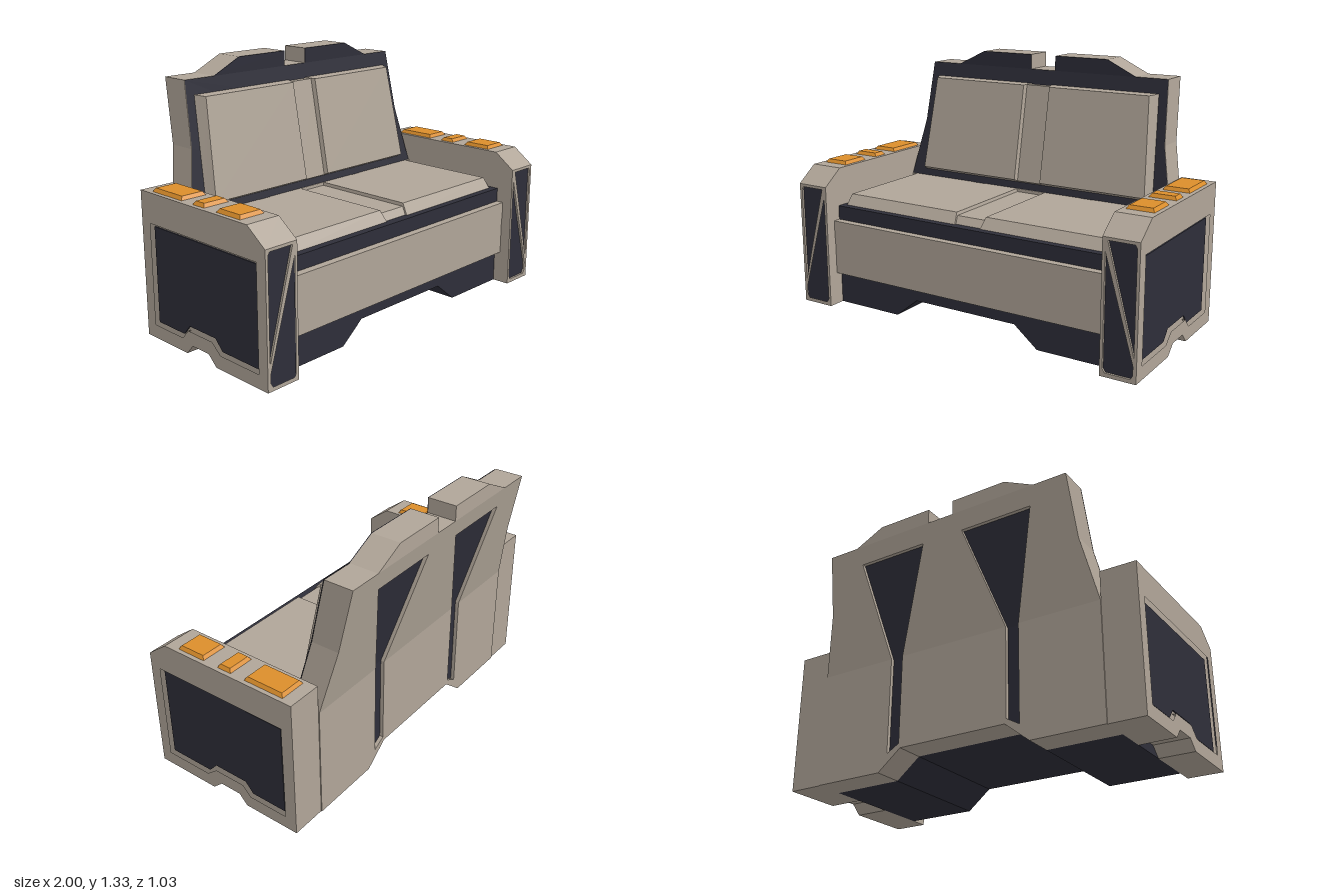
import * as THREE from 'three';

const beige = new THREE.MeshStandardMaterial({ color: 0xb0a598 });
beige.name = 'warm grey shell';
const dark = new THREE.MeshStandardMaterial({ color: 0x2e2e39, side: THREE.DoubleSide });
dark.name = 'dark inlay';
const orange = new THREE.MeshStandardMaterial({ color: 0xdb8e2b });
orange.name = 'orange pad';

const toVec = pts => pts.map(p => new THREE.Vector2(p[0], p[1]));
const flip = (pts, s) => pts.map(([x, y]) => [x * s, y]);
// Full outline from its +x half, listed from one end on the centre line to the other
const mirrored = half => [...half, ...flip(half, -1).reverse()];

// Moves every vertex by a rule and rebuilds the flat normals
function warp(geo, rule) {
  const p = geo.attributes.position;
  for (let i = 0; i < p.count; i++) p.setXYZ(i, ...rule(p.getX(i), p.getY(i), p.getZ(i)));
  geo.computeVertexNormals();
  return geo;
}

// Outline in x, y extruded from z0 to z1
function slab(pts, z0, z1, holes = []) {
  const shape = new THREE.Shape(toVec(pts));
  shape.holes = holes.map(h => new THREE.Path(toVec(h)));
  return new THREE.ExtrudeGeometry(shape, { depth: z1 - z0, bevelEnabled: false }).translate(0, 0, z0);
}

// Outline in z, y extruded across from x0 to x1
function sideSlab(pts, x0, x1, holes = []) {
  return slab(flip(pts, -1), x0, x1, holes.map(h => flip(h, -1))).rotateY(Math.PI / 2);
}

// Six-sided block whose corners come from a rule over the signs of x, y, z
const block = rule => warp(new THREE.BoxGeometry(2, 2, 2), rule);

// Planes of the leaning backrest
const frontZ = y => -0.36 + 0.1875 * (1.25 - Math.min(y, 1.25));
const backZ = y => -0.385 - 0.2 * (Math.min(Math.max(y, 0.6), 1.25) - 0.6);

export function createModel() {
  const model = new THREE.Group();
  model.name = 'sofa';
  const add = (name, geo, mat, parent = model) => {
    const mesh = new THREE.Mesh(geo, mat);
    mesh.name = name;
    parent.add(mesh);
    return mesh;
  };

  // Armrests: core, framed side panel, framed front panel, pads on top
  const armSide = [[0.5, 0], [0.5, 0.676], [0.4, 0.75], [-0.38, 0.75], [-0.38, 0],
    [-0.065, 0], [-0.02, 0.05], [0.1, 0.05], [0.155, 0]];
  const sideHole = [[0.455, 0.07], [0.455, 0.595], [-0.315, 0.595], [-0.315, 0.07],
    [-0.095, 0.07], [-0.05, 0.12], [0.13, 0.12], [0.19, 0.07]];
  const sidePanel = [[0.44, 0.085], [0.44, 0.58], [-0.3, 0.58], [-0.3, 0.085],
    [-0.1, 0.085], [-0.055, 0.137], [0.14, 0.137], [0.187, 0.085]];
  const frontHoles = [
    [[0.842, 0.65], [0.975, 0.65], [0.985, 0.635], [0.985, 0.125]],
    [[0.83, 0.6], [0.83, 0.04], [0.842, 0.02], [0.97, 0.02], [0.982, 0.04], [0.982, 0.085]],
  ];
  const pads = [[-0.315, -0.085], [-0.005, 0.08], [0.165, 0.33]];
  for (const s of [1, -1]) {
    const arm = new THREE.Group();
    arm.name = s > 0 ? 'leftArmrest' : 'rightArmrest';
    model.add(arm);
    const across = (pts, a, b, holes) => sideSlab(pts, Math.min(a * s, b * s), Math.max(a * s, b * s), holes);
    add('armCore', across(armSide, 0.815, 0.98), beige, arm);
    add('armSideFrame', across(armSide, 0.98, 1, [sideHole]), beige, arm);
    add('armSidePanel', across(sidePanel, 0.98, 0.987), dark, arm);
    const face = flip([[0.815, 0], [1, 0], [1, 0.665], [0.815, 0.665]], s);
    const frame = slab(face, 0.5, 0.515, frontHoles.map(h => flip(h, s)));
    add('armFrontFrame', warp(frame, (x, y, z) => [x, y > 0.66 && z < 0.51 ? 0.676 : y, z]), beige, arm);
    const inlay = flip([[0.822, 0.012], [0.992, 0.012], [0.992, 0.657], [0.822, 0.657]], s);
    add('armFrontPanel', slab(inlay, 0.5, 0.504), dark, arm);
    for (const [z0, z1] of pads) {
      add('armPad', block((x, y, z) => {
        const inset = y > 0 ? 0.013 : 0;
        return [s * 0.907 + x * (0.072 - inset), y > 0 ? 0.768 : 0.748,
          z > 0 ? z1 - inset : z0 + inset];
      }), orange, arm);
    }
  }

  // Base with a raised middle between two feet
  const foot = [[0.3, 0.105], [0.43, 0], [0.815, 0]];
  add('seatBase', slab(mirrored([...foot, [0.815, 0.545]]), -0.23, 0.42), dark);

  // Front apron in two plates meeting on a stepped seam
  const seam = [[0.18, 0.285], [0.49, 0.375], [0.815, 0.375]];
  add('upperApron', slab(mirrored([...seam, [0.815, 0.47]]), 0.42, 0.46), beige);
  add('lowerApron', slab([[-0.815, 0.175], [0.815, 0.175], ...mirrored(seam).reverse().sort((a, b) => b[0] - a[0])],
    0.42, 0.457), beige);

  // Seat cushions with a shallow channel between them
  for (const s of [1, -1]) {
    add('seatCushion', block((x, y, z) => {
      const top = y > 0;
      return [s * (x * s > 0 ? (top ? 0.782 : 0.79) : (top ? 0.088 : 0.075)),
        top ? 0.6 : 0.54, z > 0 ? (top ? 0.345 : 0.385) : -0.23];
    }), beige);
  }
  add('seatChannel', block((x, y, z) => [x * 0.09, y > 0 ? 0.583 : 0.54,
    z > 0 ? (y > 0 ? 0.345 : 0.375) : -0.23]), beige);

  // Back shell: upright lower part and leaning upper part, both cut by the slots
  const lowerHalf = [...foot, [0.815, 0.6], [0.38, 0.6], [0.38, 0.09], [0.31, 0.13], [0.31, 0.6]];
  add('lowerBack', slab(mirrored(lowerHalf), -0.385, -0.23), beige);
  const lean = (x, y, z) => [x, y, z > 0.5 ? frontZ(y) : backZ(y)];
  const upperHalf = [[0.31, 0.6], [0.12, 1.15], [0.52, 1.15], [0.38, 0.6],
    [0.815, 0.6], [0.75, 0.92], [0.73, 1.25]];
  add('upperBack', warp(slab(mirrored(upperHalf), 0, 1), lean), beige);

  // Dark strips set into the back slots
  for (const s of [1, -1]) {
    const wedge = flip([[0.3, 0.6], [0.39, 0.6], [0.53, 1.16], [0.11, 1.16]], s);
    add('backWedgeInlay', warp(new THREE.ShapeGeometry(new THREE.Shape(toVec(wedge))),
      (x, y) => [x, y, backZ(y) + 0.02]), dark);
    const strip = flip([[0.3, 0.12], [0.39, 0.07], [0.39, 0.6], [0.3, 0.6]], s);
    add('backStripInlay', slab(strip, -0.365, -0.36), dark);
  }

  // Crest blocks along the top
  const crest = [[0.075, 1.25], [0.55, 1.25], [0.385, 1.33], [0.075, 1.33]];
  for (const s of [1, -1]) {
    add('crest', slab(flip(crest, s), -0.515, -0.36), beige);
    add('crestFace', slab(flip(crest, s), -0.36, -0.356), dark);
  }

  // Dark face of the backrest
  const faceHalf = [[0.815, 0.54], [0.815, 0.6], [0.75, 0.92], [0.73, 1.25]];
  add('backrestFace', warp(new THREE.ShapeGeometry(new THREE.Shape(toVec(mirrored(faceHalf)))),
    (x, y) => [x, y, frontZ(y) + 0.004]), dark);

  // Back cushions with bevelled edges and a channel between them
  for (const s of [1, -1]) {
    add('backCushion', block((x, y, z) => {
      const up = y > 0, out = z > 0;
      const outer = up ? (out ? 0.66 : 0.69) : (out ? 0.695 : 0.72);
      const h = up ? (out ? 1.17 : 1.175) : (out ? 0.66 : 0.635);
      return [s * (x * s > 0 ? outer : (out ? 0.08 : 0.06)), h, frontZ(h) + (out ? 0.06 : 0)];
    }), beige);
  }
  add('backChannel', block((x, y, z) => {
    const h = y > 0 ? 1.17 : (z > 0 ? 0.65 : 0.635);
    return [x * 0.09, h, frontZ(h) + (z > 0 ? 0.037 : 0)];
  }), beige);

  return model;
}
